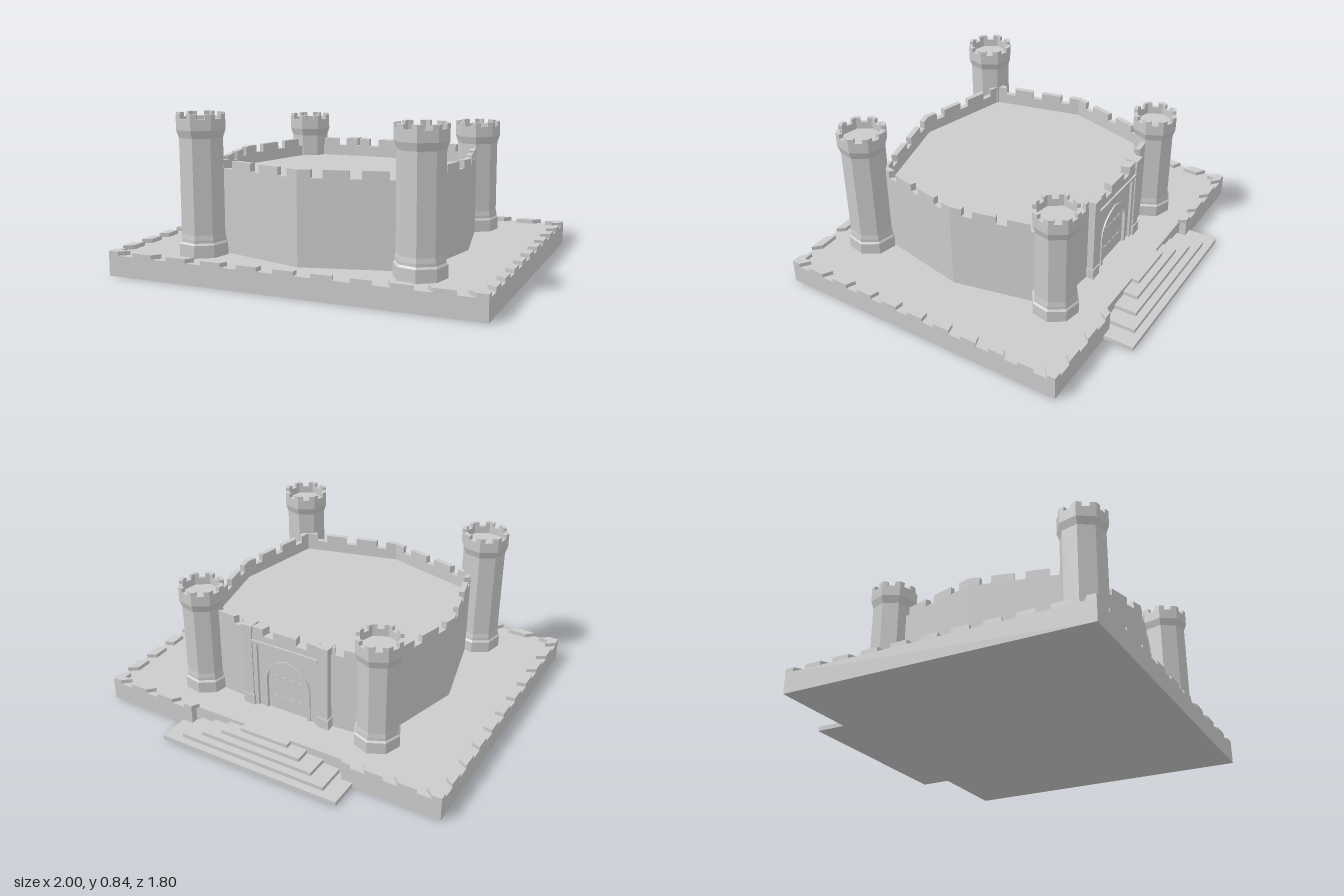
import * as THREE from 'three';

const mat = new THREE.MeshStandardMaterial({ color: 0xcccccc, flatShading: true });

export function createModel() {
  const root = new THREE.Group();
  root.name = 'fortress';

  const add = (name, geo, x = 0, y = 0, z = 0, parent = root) => {
    const m = new THREE.Mesh(geo, mat);
    m.name = name;
    m.position.set(x, y, z);
    parent.add(m);
    return m;
  };
  const group = (name) => {
    const g = new THREE.Group();
    g.name = name;
    root.add(g);
    return g;
  };
  // box given by its limits
  const box = (name, x0, x1, y0, y1, z0, z1, parent) =>
    add(name, new THREE.BoxGeometry(x1 - x0, y1 - y0, z1 - z0), (x0 + x1) / 2, (y0 + y1) / 2, (z0 + z1) / 2, parent);
  // upright prism over a plan outline of [x, z] points
  const prism = (name, pts, y0, y1, parent, hole) => {
    const flip = (list) => list.map(([x, z]) => new THREE.Vector2(x, -z));
    const shape = new THREE.Shape(flip(pts));
    if (hole) shape.holes.push(new THREE.Path(flip(hole)));
    const geo = new THREE.ExtrudeGeometry(shape, { depth: y1 - y0, bevelEnabled: false });
    geo.rotateX(-Math.PI / 2);
    return add(name, geo, 0, y0, 0, parent);
  };
  const lerp = (p, q, t) => [p[0] + (q[0] - p[0]) * t, p[1] + (q[1] - p[1]) * t];
  const toward = (c, s) => (p) => lerp(c, p, s);
  // merlons along one edge: n gaps, each taking the share g of the pitch
  const crenels = (name, p, q, n, g, inset, y0, y1, parent) => {
    for (let i = 0; i <= n; i++) {
      const a = lerp(p, q, Math.max(0, (i - (1 - g) / 2) / n));
      const b = lerp(p, q, Math.min(1, (i + (1 - g) / 2) / n));
      prism(name, [a, b, inset(b), inset(a)], y0, y1, parent);
    }
  };

  // terrace with a notch for the stairs
  const B = -0.74, F = 0.9, N = 0.46;
  prism('terrace', [[-1, F], [1, F], [1, B], [N, B], [N, -0.7], [-N, -0.7], [-N, B], [-1, B]], 0, 0.11);
  const rim = group('terraceParapet');
  const rimInset = toward([0, 0.08], 0.95);
  [[[-1, F], [1, F], 10], [[1, F], [1, B], 10], [[1, B], [N, B], 3], [[-N, B], [-1, B], 3], [[-1, B], [-1, F], 10]]
    .forEach(([p, q, n]) => crenels('terraceMerlon', p, q, n, 0.44, rimInset, 0.11, 0.132, rim));

  // stairs
  const stairs = group('stairs');
  for (let i = 0; i < 5; i++) {
    const w = 0.523 - 0.095 * i;
    box('step', -w, w, 0, [0.024, 0.046, 0.068, 0.09, 0.11][i], -0.905 + 0.041 * i, -0.7, stairs);
  }

  // curtain wall
  const plan = [[-0.515, -0.465], [-0.665, 0.08], [-0.54, 0.6], [0, 0.745], [0.56, 0.6],
    [0.665, 0.08], [0.55, -0.465], [0.23, -0.49], [-0.23, -0.49]];
  const wallInset = toward([0, 0.08], 0.955);
  const walls = group('curtainWall');
  prism('wall', plan, 0.1, 0.55, walls, plan.map(wallInset));
  prism('courtyardFloor', plan.map(toward([0, 0.08], 0.97)), 0.1, 0.49, walls);
  [3, 3, 3, 3, 3, 3, 2, 0, 2].forEach((n, i) => {
    if (n) crenels('wallMerlon', plan[i], plan[(i + 1) % 9], n, 0.32, wallInset, 0.55, 0.592, walls);
  });

  // gatehouse front on the back wall
  const gate = group('gate');
  const rectPath = (P, w, y0, y1) =>
    new P([[-w, y0], [w, y0], [w, y1], [-w, y1]].map(([x, y]) => new THREE.Vector2(x, y)));
  const arch = (P, w, spring, top) => {
    const s = new P();
    s.moveTo(-w, 0.11);
    s.lineTo(w, 0.11);
    s.lineTo(w, spring);
    s.quadraticCurveTo(w * 0.9, top - 0.03, 0, top);
    s.quadraticCurveTo(-w * 0.9, top - 0.03, -w, spring);
    s.closePath();
    return s;
  };
  const slab = (name, shape, z0, z1) =>
    add(name, new THREE.ExtrudeGeometry(shape, { depth: z1 - z0, bevelEnabled: false, curveSegments: 6 }), 0, 0, z0, gate);

  const facade = rectPath(THREE.Shape, 0.22, 0.105, 0.55);
  facade.holes.push(rectPath(THREE.Path, 0.175, 0.11, 0.49));
  slab('gateFacade', facade, -0.518, -0.485);
  const panel = rectPath(THREE.Shape, 0.18, 0.105, 0.495);
  panel.holes.push(arch(THREE.Path, 0.125, 0.3, 0.41));
  slab('recessedPanel', panel, -0.504, -0.485);
  const moulding = arch(THREE.Shape, 0.14, 0.3, 0.428);
  moulding.holes.push(arch(THREE.Path, 0.122, 0.3, 0.408));
  slab('archMoulding', moulding, -0.512, -0.485);
  slab('gateDoor', arch(THREE.Shape, 0.123, 0.3, 0.409), -0.495, -0.48);
  box('gateLedge', -0.2, 0.2, 0.5, 0.515, -0.528, -0.5, gate);
  // short iron straps on the door
  for (const y of [0.19, 0.31])
    for (const x of [-0.075, -0.025, 0.025, 0.075])
      box('doorStrap', x - 0.015, x + 0.015, y, y + 0.008, -0.499, -0.49, gate);
  // gate posts with foot and cap
  for (const s of [-1, 1]) {
    const x = s * 0.228;
    box('gatePost', x - 0.027, x + 0.027, 0.1, 0.58, -0.525, -0.465, gate);
    box('gatePostFoot', x - 0.033, x + 0.033, 0.1, 0.17, -0.531, -0.465, gate);
    box('gatePostCap', x - 0.032, x + 0.032, 0.555, 0.595, -0.53, -0.462, gate);
  }
  crenels('gateMerlon', [-0.2, -0.518], [0.2, -0.518], 2, 0.32, toward([0, 0.08], 0.92), 0.545, 0.592, gate);

  // octagonal towers
  const tower = (name, cx, cz, r, top, flare, turn) => {
    const g = group(name);
    const R = r * 1.12, inner = R * 0.83, deck = top - 0.065, lip = top - 0.025;
    const profile = [[0, 0.1], [R, 0.1], [R, 0.175], [r * 1.04, 0.185], [r * 1.04, 0.2], [r, 0.225], [r, flare],
      [R, flare + 0.04], [R, lip], [inner, lip], [inner, deck], [0, deck]];
    const geo = new THREE.LatheGeometry(profile.map(([x, y]) => new THREE.Vector2(x, y)), 8, turn);
    add('towerBody', geo, cx, 0, cz, g);
    const corner = (i) => {
      const a = turn + i * Math.PI / 4;
      return [cx + R * Math.sin(a), cz + R * Math.cos(a)];
    };
    for (let i = 0; i < 8; i++)
      crenels('towerMerlon', corner(i), corner(i + 1), 1, 0.42, toward([cx, cz], 0.83), lip, top, g);
  };
  tower('frontRightTower', -0.575, 0.67, 0.118, 0.836, 0.715, 0.17);
  tower('frontLeftTower', 0.605, 0.67, 0.118, 0.836, 0.715, 0.17);
  tower('backRightTower', -0.515, -0.47, 0.112, 0.732, 0.61, 0.05);
  tower('backLeftTower', 0.547, -0.47, 0.112, 0.732, 0.61, 0.2);

  return root;
}
